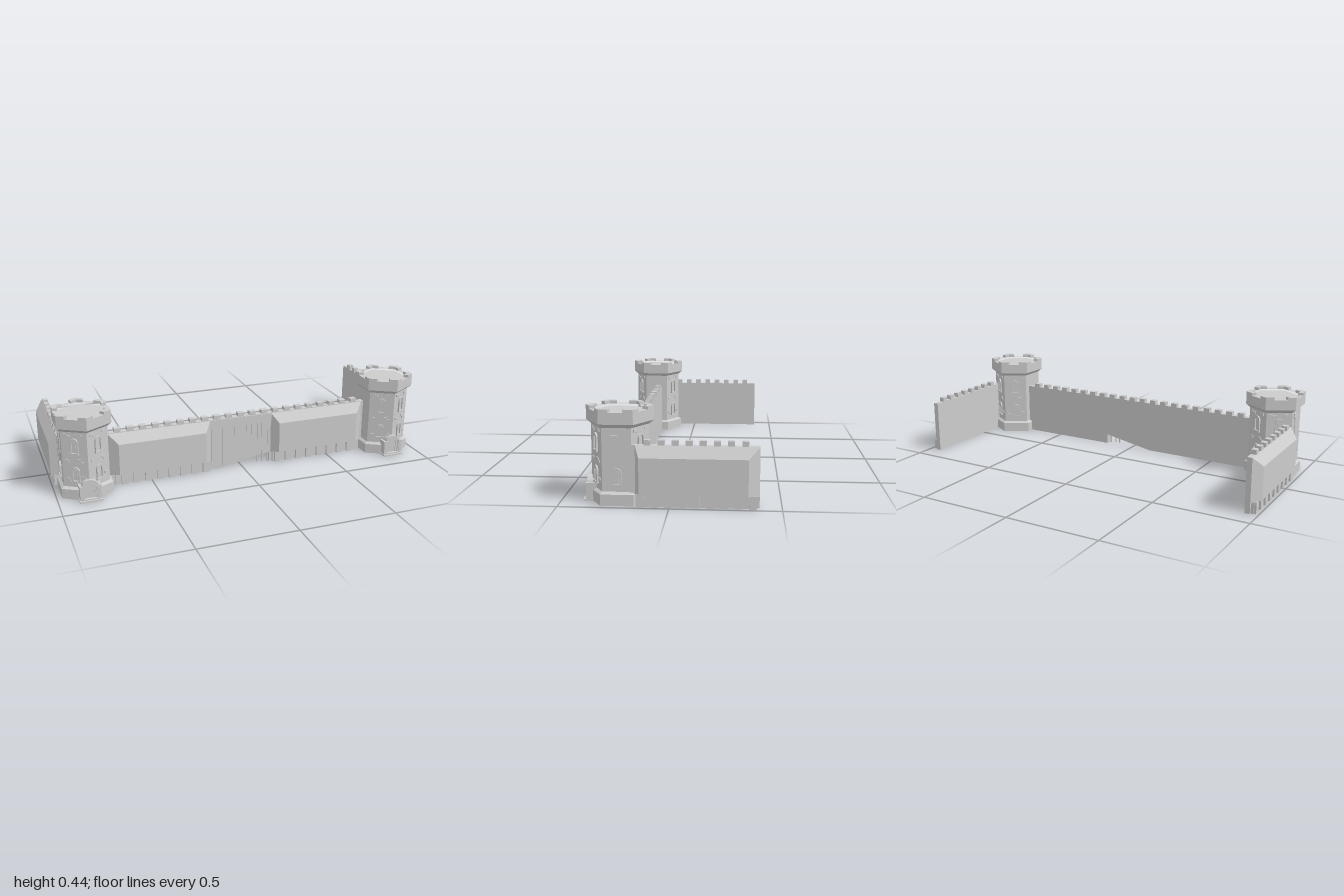
import * as THREE from 'three';
import { ConvexGeometry } from 'three/addons/geometries/ConvexGeometry.js';

const mat = new THREE.MeshStandardMaterial({ color: 0xcccccc, flatShading: true });
const V = (x, y, z) => new THREE.Vector3(x, y, z);

function add(parent, name, geo, x = 0, y = 0, z = 0) {
  const m = new THREE.Mesh(geo, mat);
  m.name = name;
  m.position.set(x, y, z);
  parent.add(m);
  return m;
}

// box given by its limits on each axis
function block(parent, name, x0, x1, y0, y1, z0, z1) {
  const g = new THREE.BoxGeometry(Math.abs(x1 - x0), y1 - y0, Math.abs(z1 - z0));
  return add(parent, name, g, (x0 + x1) / 2, (y0 + y1) / 2, (z0 + z1) / 2);
}

const extrude = (shape, depth) =>
  new THREE.ExtrudeGeometry(shape, { depth, bevelEnabled: false, curveSegments: 8 });

// round-headed outline standing on y0
function arch(P, w, h, y0 = 0) {
  const p = new P(), r = w / 2;
  p.moveTo(-r, y0);
  p.lineTo(r, y0);
  p.lineTo(r, h - r);
  p.absarc(0, h - r, r, 0, Math.PI, false);
  p.lineTo(-r, y0);
  return p;
}

function archFrame(w, h, t, depth, sill = 0) {
  const s = arch(THREE.Shape, w, h);
  s.holes.push(arch(THREE.Path, w - 2 * t, h - t, sill));
  return extrude(s, depth);
}

// hexagon corners with points facing front and back
const hex = r => Array.from({ length: 6 }, (_, i) =>
  new THREE.Vector2(r * Math.sin(i * Math.PI / 3), r * Math.cos(i * Math.PI / 3)));

const CX = 0.843, CZ = 0.235, BODY = 0.133, CROWN = 0.155, INNER = 0.125;

function addWindow(parent, y, h) {
  const g = new THREE.Group();
  g.name = 'window';
  add(g, 'windowFrame', archFrame(0.042, h, 0.009, 0.008));
  add(g, 'windowPane', extrude(arch(THREE.Shape, 0.018, h - 0.014, 0.006), 0.003));
  block(g, 'windowSill', -0.024, 0.024, -0.003, 0.006, 0, 0.011);
  g.position.y = y;
  parent.add(g);
}

function makeTower(s) {
  const t = new THREE.Group();
  t.name = s > 0 ? 'leftTower' : 'rightTower';
  t.position.set(s * CX, 0, CZ);

  // plinth with its front point cut off behind the porch
  const plinth = [[0.15, 0], [0.15, 0.052], [0.134, 0.062]].flatMap(([r, y]) => {
    const cut = 0.8 * r, half = (r - cut) * Math.sqrt(3);
    return [...hex(r).slice(1).map(p => V(p.x, y, p.y)), V(half, y, cut), V(-half, y, cut)];
  });
  add(t, 'plinth', new ConvexGeometry(plinth));
  add(t, 'towerBody', new THREE.CylinderGeometry(BODY, BODY, 0.33, 6), 0, 0.195, 0);
  add(t, 'crownFlare', new THREE.CylinderGeometry(CROWN, BODY, 0.018, 6), 0, 0.361, 0);

  // parapet ring, floor and corner merlons
  const ring = new THREE.Shape(hex(CROWN));
  ring.holes.push(new THREE.Path(hex(INNER)));
  add(t, 'parapet', extrude(ring, 0.053).rotateX(-Math.PI / 2), 0, 0.37, 0);
  add(t, 'roofFloor', new THREE.CylinderGeometry(INNER + 0.005, INNER + 0.005, 0.042, 6), 0, 0.391, 0);
  const out = hex(CROWN), inn = hex(INNER);
  for (let i = 0; i < 6; i++) {
    const a = (i + 5) % 6, b = (i + 1) % 6, k = 0.275;
    const corner = new THREE.Shape([
      out[i].clone().lerp(out[a], k), out[i], out[i].clone().lerp(out[b], k),
      inn[i].clone().lerp(inn[b], k), inn[i], inn[i].clone().lerp(inn[a], k)]);
    add(t, 'cornerMerlon', extrude(corner, 0.015).rotateX(-Math.PI / 2), 0, 0.422, 0);
  }

  // windows and loose stones on the slanted faces, banner on the outer face
  const stones = [[-0.043, 0.336], [-0.026, 0.331], [0.036, 0.336], [0.024, 0.205],
    [0.036, 0.194], [-0.038, 0.2], [-0.04, 0.105], [0.042, 0.115]];
  const face = (angle, name) => {
    const g = new THREE.Group(), ap = BODY * Math.cos(Math.PI / 6);
    g.name = name;
    g.rotation.y = angle;
    g.position.set(ap * Math.sin(angle), 0, ap * Math.cos(angle));
    t.add(g);
    return g;
  };
  for (const deg of [30, -30, 150, -150]) {
    const f = face(deg * Math.PI / 180, 'slantedFace');
    addWindow(f, 0.092, 0.078);
    addWindow(f, 0.238, 0.082);
    for (const [x, y] of stones) block(f, 'stone', x - 0.009, x + 0.009, y - 0.006, y + 0.006, -0.002, 0.005);
  }
  const outer = face(s * Math.PI / 2, 'outerFace');
  addWindow(outer, 0.092, 0.078);
  const banner = new THREE.Shape([[-0.024, 0.32], [-0.024, 0.222], [0, 0.196], [0.024, 0.222], [0.024, 0.32]]
    .map(p => new THREE.Vector2(...p)));
  add(outer, 'banner', extrude(banner, 0.003));
  for (const [x, y] of [[0.03, 0.335], [0.04, 0.324]])
    block(outer, 'stone', s * x - 0.009, s * x + 0.009, y - 0.005, y + 0.005, -0.002, 0.005);

  // porch on the front corner
  add(t, 'porchArch', archFrame(0.09, 0.112, 0.014, 0.045), 0, 0, 0.105);
  add(t, 'doorArch', archFrame(0.066, 0.1, 0.012, 0.044), 0, 0, 0.1);
  add(t, 'door', extrude(arch(THREE.Shape, 0.046, 0.09), 0.04), 0, 0, 0.1);
  for (const x of [-0.045, 0.045]) {
    block(t, 'porchPost', x - 0.008, x + 0.008, 0, 0.075, 0.1, 0.153);
    block(t, 'postCap', x - 0.01, x + 0.01, 0.075, 0.083, 0.1, 0.155);
  }
  block(t, 'porchStep', -0.057, 0.057, 0, 0.008, 0.1, 0.165);
  block(t, 'porchStepUpper', -0.045, 0.045, 0.008, 0.014, 0.1, 0.156);
  return t;
}

// sloped bulge: map(u, y, d) places length, height and outward depth
function addBulge(parent, map, u0, u1, in0, in1, depth) {
  const sgn = Math.sign(u1 - u0), pts = [];
  for (const [a, b, y0, y1, d] of [
    [u0, u1, 0.052, 0.277, 0],
    [u0 + sgn * in0, u1 - sgn * in1, 0.061, 0.227, depth]])
    pts.push(map(a, y0, d), map(b, y0, d), map(b, y1, d), map(a, y1, d));
  add(parent, 'wallBulge', new ConvexGeometry(pts));
}

function makeSideWall(s) {
  const g = new THREE.Group();
  g.name = s > 0 ? 'leftWall' : 'rightWall';
  block(g, 'wall', s * 0.933, s * 0.96, 0, 0.277, -0.4, 0.18);
  addBulge(g, (u, y, d) => V(s * (0.96 + d), y, u), 0.153, -0.4, 0.02, 0.05, 0.04);
  block(g, 'wallFoot', s * 0.95, s * 0.975, 0, 0.055, -0.39, 0.145);
  for (let i = 0; i < 9; i++) {
    const z = 0.13 - i * 0.0625;
    block(g, 'corbel', s * 0.97, s * 0.986, 0, 0.058, z - 0.016, z + 0.016);
  }
  for (let i = 0; i < 8; i++) {
    const z = 0.099 - i * 0.062;
    block(g, 'merlon', s * 0.933, s * 0.96, 0.275, 0.3, z - 0.015, z + 0.015);
  }
  return g;
}

function makeFrontWall() {
  const g = new THREE.Group();
  g.name = 'frontWall';
  // wall with a rising broken edge under the middle
  const outline = [[-0.74, 0], [-0.12, 0], [0.165, 0.053], [0.165, 0], [0.74, 0], [0.74, 0.28], [-0.74, 0.28]];
  add(g, 'wall', extrude(new THREE.Shape(outline.map(p => new THREE.Vector2(...p))), 0.03), 0, 0, 0.2);
  for (let i = -10; i <= 10; i++)
    block(g, 'merlon', i * 0.0665 - 0.017, i * 0.0665 + 0.017, 0.278, 0.3, 0.2, 0.23);

  for (const s of [-1, 1]) {
    addBulge(g, (u, y, d) => V(u, y, 0.23 + d), s * 0.172, s * 0.715, 0.035, 0.045, 0.04);
    block(g, 'wallFoot', s * 0.18, s * 0.69, 0, 0.055, 0.22, 0.243);
    for (let i = 0; i < 8; i++) {
      const x = s * (0.205 + i * 0.0625);
      block(g, 'corbel', x - 0.016, x + 0.016, 0, 0.058, 0.23, 0.256);
    }
  }

  // lip and hanging bars over the middle
  block(g, 'lip', -0.175, 0.175, 0.23, 0.278, 0.225, 0.234);
  const bars = [[-0.165, 0], [-0.13, 0.005], [-0.1, 0.005], [-0.068, 0.155], [-0.036, 0.18], [0, 0.185],
    [0.032, 0.19], [0.064, 0.17], [0.096, 0.005], [0.122, 0.005], [0.155, 0]];
  for (const [x, y] of bars) block(g, 'bar', x - 0.003, x + 0.003, y, 0.235, 0.226, 0.234);
  return g;
}

export function createModel() {
  const model = new THREE.Group();
  model.name = 'castleWalls';
  model.add(makeFrontWall());
  for (const s of [-1, 1]) model.add(makeTower(s), makeSideWall(s));
  return model;
}
